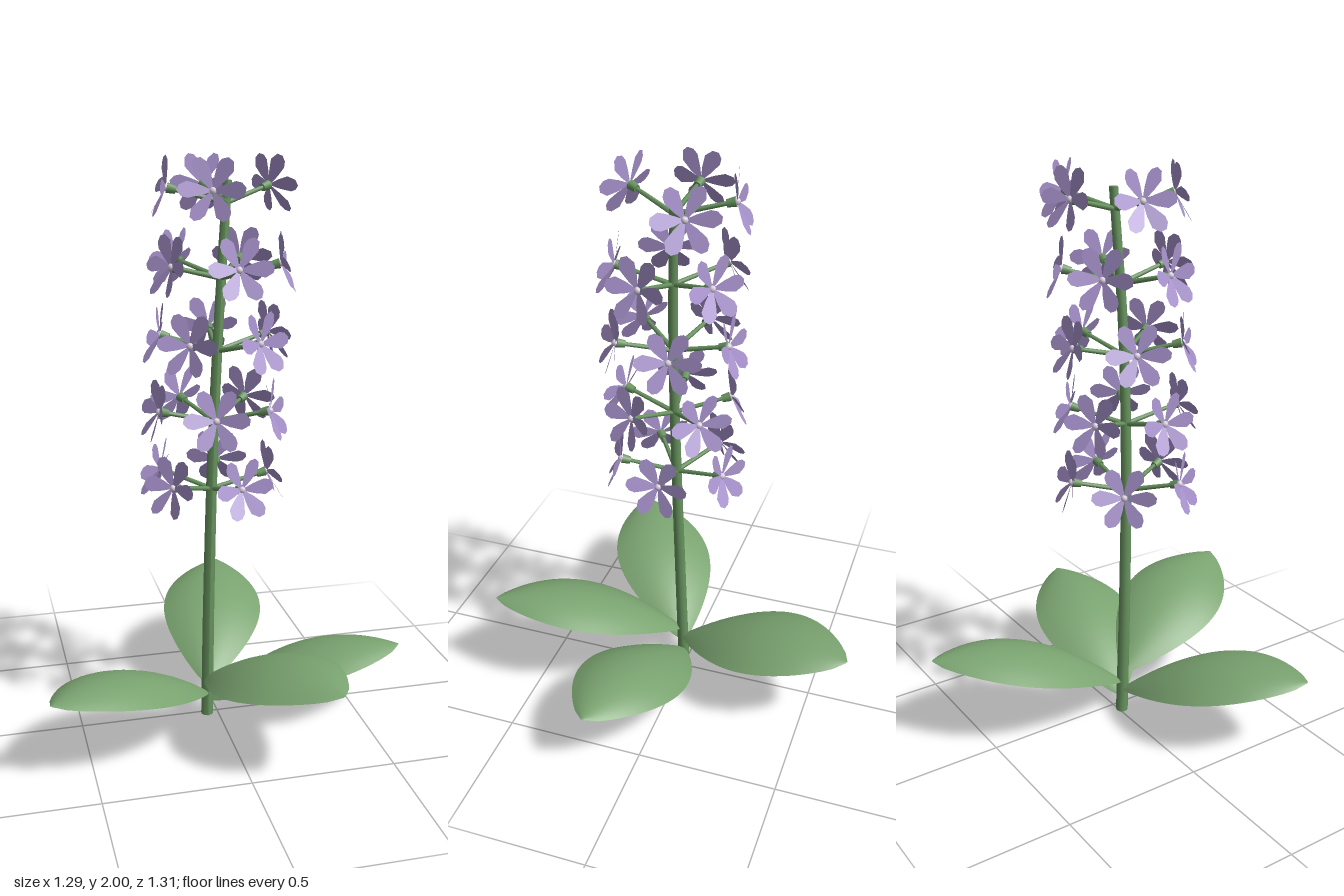
import * as THREE from 'three';
import { mergeGeometries } from 'three/addons/utils/BufferGeometryUtils.js';

const mat = (name, color) => Object.assign(new THREE.MeshStandardMaterial({ color }), { name });

// Gently leaning stem; radius shrinks towards the top
const stemPath = new THREE.CatmullRomCurve3([
  [-0.04, 0, 0.012], [-0.036, 0.45, 0.025], [-0.024, 1, 0.037], [-0.003, 1.45, 0.037], [0.03, 1.92, 0.02],
].map((p) => new THREE.Vector3(...p)));

function stemAt(y) {
  let lo = 0, hi = 1;
  for (let i = 0; i < 30; i++) {
    const mid = (lo + hi) / 2;
    if (stemPath.getPoint(mid).y < y) lo = mid; else hi = mid;
  }
  return stemPath.getPoint(lo);
}

function stemGeometry() {
  const sides = 10, rows = 24;
  const g = new THREE.CylinderGeometry(1, 1, 1, sides, rows);
  const p = g.attributes.position;
  for (let i = 0; i < p.count; i++) {
    const t = p.getY(i) + 0.5;
    const c = stemPath.getPoint(t);
    const r = 0.022 - 0.007 * t;
    p.setXYZ(i, c.x + p.getX(i) * r, c.y, c.z + p.getZ(i) * r);
  }
  g.computeVertexNormals();
  return g;
}

// Broad arching blade running along +x, with its margins bent down
function leafGeometry(roll) {
  const g = new THREE.PlaneGeometry(1, 2, 24, 12);
  g.rotateX(-Math.PI / 2);
  const p = g.attributes.position;
  for (let i = 0; i < p.count; i++) {
    const t = p.getX(i) + 0.5, s = p.getZ(i);
    const w = 0.185 * Math.pow(Math.max(0, Math.sin(Math.PI * Math.pow(t, 1.1))), 0.75) + 0.004;
    const rise = 0.58 * t - 0.37 * t * t;
    p.setXYZ(i, 0.7 * t, rise - 0.06 * s * s * (w / 0.185) - s * w * roll, s * w);
  }
  g.computeVertexNormals();
  return g;
}

// Six blunt wedge petals in one ring facing +z, tips flaring forward
function petalRing() {
  const shape = new THREE.Shape([
    [0.008, -0.005], [0.045, -0.019], [0.082, -0.028], [0.108, -0.014],
    [0.112, 0.006], [0.098, 0.022], [0.078, 0.027], [0.04, 0.017], [0.008, 0.005],
  ].map((q) => new THREE.Vector2(...q)));
  const petals = [];
  for (let i = 0; i < 6; i++) {
    petals.push(new THREE.ShapeGeometry(shape).rotateX(0.2).rotateY(-0.22).rotateZ(i * Math.PI / 3));
  }
  return mergeGeometries(petals);
}

export function createModel() {
  const model = new THREE.Group();
  model.name = 'floweringPlant';
  const stemGreen = mat('stemGreen', 0x67935e);
  const leafGreen = mat('leafGreen', 0x7aa370);
  const petalPurple = mat('petalPurple', 0xa792cc);
  const palePink = mat('paleCentre', 0xdccfe0);
  leafGreen.side = THREE.DoubleSide;
  petalPurple.side = THREE.DoubleSide;

  const add = (parent, name, geometry, material) => {
    const mesh = new THREE.Mesh(geometry, material);
    mesh.name = name;
    parent.add(mesh);
    return mesh;
  };

  add(model, 'stem', stemGeometry(), stemGreen);

  // Basal leaves: [heading in degrees, height, sideways tilt]
  [[11, 0.055, -0.03], [149, 0.09, 0.05], [286, 0.12, 0.05], [65, 0.155, 0.13]].forEach(([deg, y, roll]) => {
    const leaf = add(model, 'leaf', leafGeometry(roll), leafGreen);
    const base = stemAt(y);
    leaf.position.set(base.x, y, base.z);
    leaf.rotation.y = -THREE.MathUtils.degToRad(deg);
  });

  // Flower parts, all facing +z with the petals at the origin
  const reach = 0.195, rise = 0.05, stalkLength = Math.hypot(reach, rise);
  const ring = petalRing();
  const stalkGeo = new THREE.CylinderGeometry(0.007, 0.009, stalkLength, 6)
    .rotateX(Math.PI / 2).translate(0, 0, -stalkLength / 2);
  const cupGeo = new THREE.CylinderGeometry(0.017, 0.013, 0.03, 8)
    .rotateX(Math.PI / 2).translate(0, 0, -0.018);
  const centreGeo = new THREE.SphereGeometry(0.012, 8, 6);

  // Five whorls of five; the top whorl is one flower short
  for (let n = 0; n < 24; n++) {
    const whorl = Math.floor(n / 5);
    const angle = whorl * 0.505 + (n % 5) * Math.PI * 2 / 5;
    const node = stemAt(0.88 + whorl * 0.242);
    const dir = new THREE.Vector3(Math.cos(angle) * reach, rise, Math.sin(angle) * reach);
    const flower = new THREE.Group();
    flower.name = 'flower';
    flower.position.copy(node).add(dir);
    flower.lookAt(flower.position.clone().add(dir));
    add(flower, 'flowerStalk', stalkGeo, stemGreen);
    add(flower, 'flowerCup', cupGeo, stemGreen);
    add(flower, 'petals', ring, petalPurple);
    add(flower, 'flowerCentre', centreGeo, palePink);
    model.add(flower);
  }
  return model;
}
